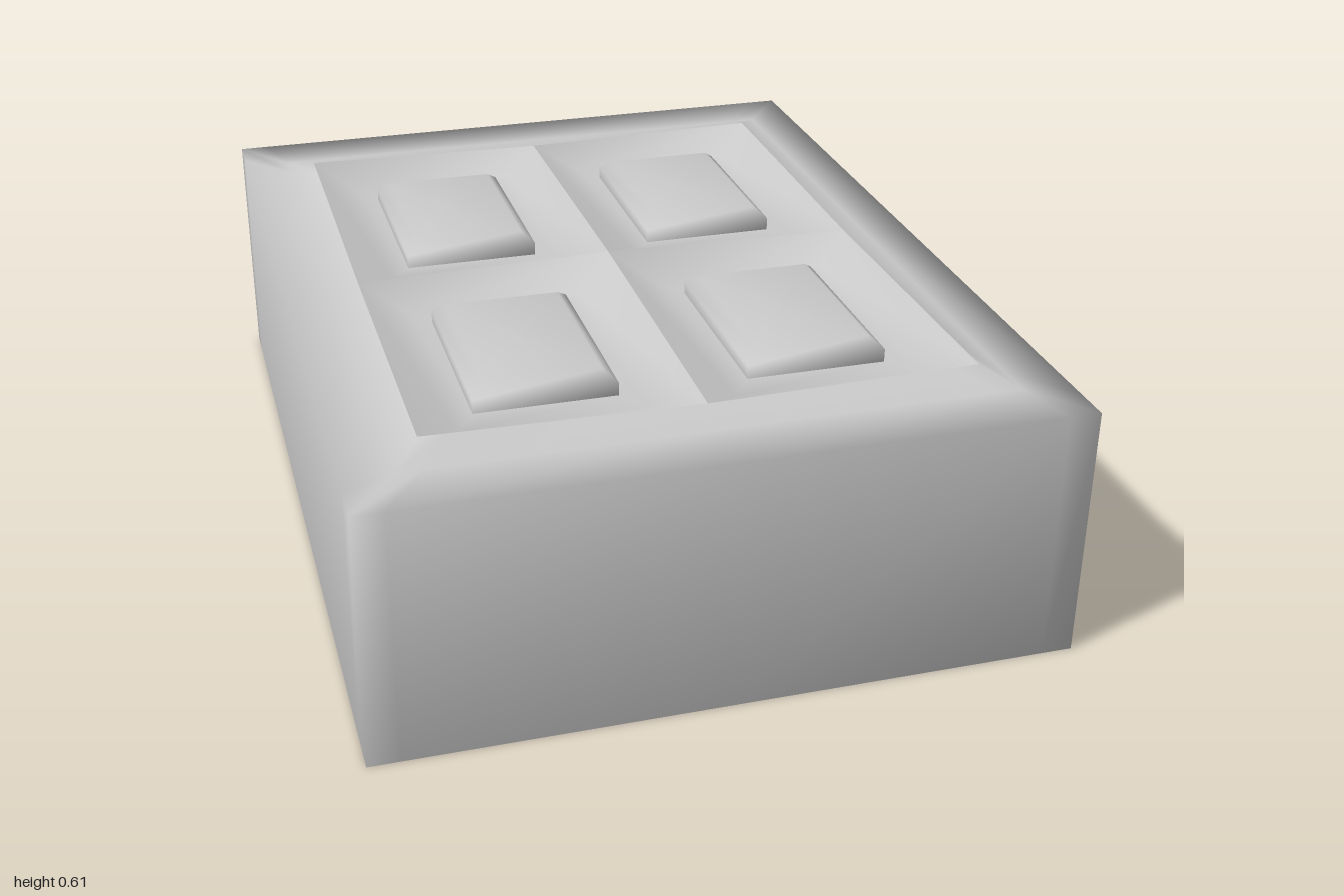
import * as THREE from 'three';

const W = 0.77, D = 1, H = 0.58;          // half width, half depth, wall height
const RIM_X = 0.6, RIM_Z = 0.775;         // half size of the raised rim

// Height of the rim and cross ridges: sags at the middle of each side, peaks at the centre
function ridgeHeight(x, z) {
  const u = Math.abs(x) / RIM_X, v = Math.abs(z) / RIM_Z;
  if (u < 0.001 || v < 0.001) return 0.607 - 0.012 * Math.max(u, v);
  return 0.595 + 0.01 * Math.min(u, v);
}

// Rectangular ring, counterclockwise from above; steps are positions along each side (0..1)
function ring(cx, cz, w, d, y, steps = [0]) {
  const corners = [[w, d], [w, -d], [-w, -d], [-w, d]];
  return corners.flatMap(([x, z], i) => {
    const [nx, nz] = corners[(i + 1) % 4];
    return steps.map(t => {
      const px = cx + x + (nx - x) * t, pz = cz + z + (nz - z) * t;
      return [px, typeof y === 'function' ? y(px, pz) : y, pz];
    });
  });
}

// Smooth skin through a list of rings with equal point counts
function loft(rings, name, material) {
  const n = rings[0].length, index = [];
  for (let i = 0; i < rings.length - 1; i++) {
    for (let j = 0; j < n; j++) {
      const a = i * n + j, b = i * n + (j + 1) % n;
      index.push(a, b, b + n, a, b + n, a + n);
    }
  }
  // drop the collapsed triangles' influence by letting zero-area faces add nothing
  const geometry = new THREE.BufferGeometry();
  geometry.setAttribute('position', new THREE.Float32BufferAttribute(rings.flat(2), 3));
  geometry.setIndex(index);
  geometry.computeVertexNormals();
  const mesh = new THREE.Mesh(geometry, material);
  mesh.name = name;
  return mesh;
}

export function createModel() {
  const group = new THREE.Group();
  group.name = 'panelledBlock';
  const grey = new THREE.MeshStandardMaterial({ color: 0xcccccc });

  // Main body: closed bottom, straight walls, border and raised rim
  const steps = [0, 0.045, 0.5, 0.955];
  group.add(loft([
    ring(0, 0, 0, 0, 0, steps),
    ring(0, 0, 0.69, 0.92, 0, steps),
    ring(0, 0, W, D, 0, steps),
    ring(0, 0, W, D, H, steps),
    ring(0, 0, 0.66, 0.86, H, steps),
    ring(0, 0, RIM_X, RIM_Z, ridgeHeight, steps),
  ], 'body', grey));

  // Four sunken panels, each with a raised bevelled block
  for (const sx of [-1, 1]) {
    for (const sz of [-1, 1]) {
      const px = sx * RIM_X / 2, pz = sz * RIM_Z / 2;
      const bx = sx * 0.3, bz = sz * 0.383;
      const panel = new THREE.Group();
      panel.name = `${sz > 0 ? 'front' : 'back'}${sx > 0 ? 'Left' : 'Right'}Panel`;
      panel.add(loft([
        ring(px, pz, RIM_X / 2, RIM_Z / 2, ridgeHeight),
        ring(px, pz, 0.205, 0.295, 0.553),
        ring(bx, bz, 0.157, 0.228, 0.55),
      ], 'recess', grey));
      panel.add(loft([
        ring(bx, bz, 0.157, 0.228, 0.55),
        ring(bx, bz, 0.157, 0.228, 0.58),
        ring(bx, bz, 0.13, 0.198, 0.603),
        ring(bx, bz, 0, 0, 0.605),
      ], 'raisedBlock', grey));
      group.add(panel);
    }
  }
  return group;
}
